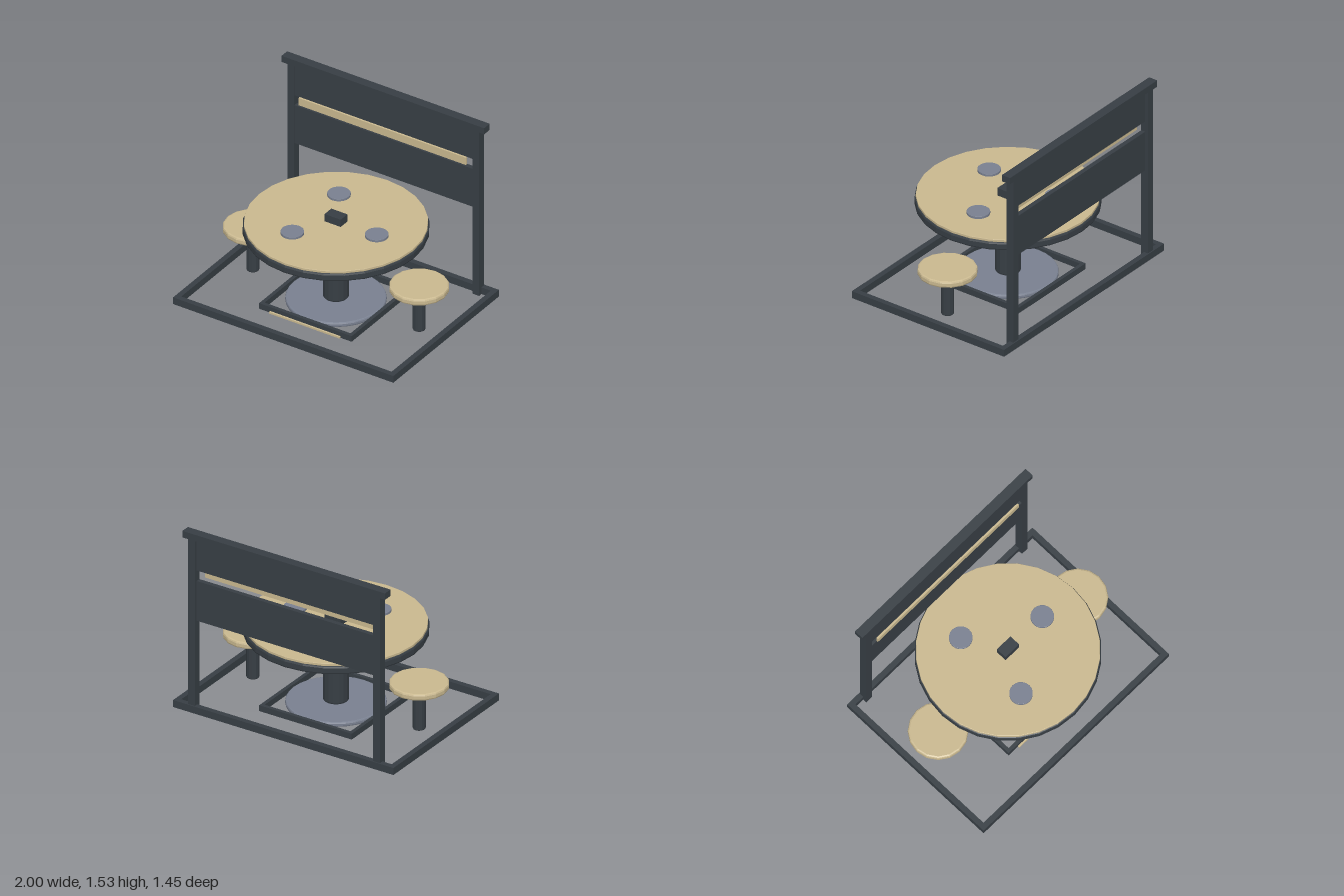
import * as THREE from 'three';

const paint = (name, color) => {
  const m = new THREE.MeshStandardMaterial({ color });
  m.name = name;
  return m;
};

export function createModel() {
  const model = new THREE.Group();
  model.name = 'tableWithScreen';
  const steel = paint('dark steel', 0x373e44);
  const wood = paint('pale wood', 0xc9b88f);
  const grey = paint('blue grey', 0x798090);

  const add = (name, geometry, material, parent = model) => {
    const mesh = new THREE.Mesh(geometry, material);
    mesh.name = name;
    parent.add(mesh);
    return mesh;
  };

  // Box given by its limits on each axis
  const box = (name, material, [x0, x1], [y0, y1], [z0, z1], parent) => {
    const mesh = add(name, new THREE.BoxGeometry(x1 - x0, y1 - y0, z1 - z0), material, parent);
    mesh.position.set((x0 + x1) / 2, (y0 + y1) / 2, (z0 + z1) / 2);
    return mesh;
  };

  // Faceted disc or post with bevelled rims
  const disc = (name, material, r, y0, y1, sides, bevel, x = 0, z = 0) => {
    const profile = [
      [0, y0], [r - bevel, y0], [r - bevel * 0.3, y0 + bevel * 0.3], [r, y0 + bevel],
      [r, y1 - bevel], [r - bevel * 0.3, y1 - bevel * 0.3], [r - bevel, y1], [0, y1],
    ].map(([px, py]) => new THREE.Vector2(px, py));
    const geometry = new THREE.LatheGeometry(profile, sides).toNonIndexed();
    geometry.computeVertexNormals();
    const mesh = add(name, geometry, material);
    mesh.position.set(x, 0, z);
    return mesh;
  };

  // Rectangular floor frame made of four bars
  const floorFrame = (name, hx, hz, width, height) => {
    const frame = new THREE.Group();
    frame.name = name;
    model.add(frame);
    for (const s of [-1, 1]) {
      const cx = s * (hx - width / 2), cz = s * (hz - width / 2), w = width / 2;
      box('longBar', steel, [-hx, hx], [0, height], [cz - w, cz + w], frame);
      box('sideBar', steel, [cx - w, cx + w], [0, height], [width - hz, hz - width], frame);
    }
  };
  floorFrame('outerFrame', 1, 0.725, 0.045, 0.06);
  floorFrame('innerFrame', 0.42, 0.42, 0.03, 0.05);
  box('footStrip', wood, [-0.32, 0.32], [0, 0.015], [0.4, 0.435]);

  // Table
  disc('basePlate', grey, 0.385, 0, 0.04, 32, 0.012);
  disc('pedestal', steel, 0.1, 0.04, 0.62, 16, 0.015);
  disc('tableRim', steel, 0.71, 0.62, 0.69, 28, 0.015);
  disc('tableTop', wood, 0.7, 0.688, 0.71, 28, 0.003);
  box('centreBox', steel, [-0.073, 0.073], [0.71, 0.775], [-0.046, 0.046]);
  for (let i = 0; i < 3; i++) {
    const a = (i * Math.PI * 2) / 3;
    disc('coaster', grey, 0.09, 0.708, 0.73, 20, 0.002, 0.37 * Math.cos(a), 0.37 * Math.sin(a));
  }

  // Stools and screen posts, one on each side
  for (const s of [-1, 1]) {
    disc('stoolStem', steel, 0.05, 0.01, 0.362, 12, 0.008, s * 0.755);
    disc('stoolSeat', wood, 0.23, 0.36, 0.415, 16, 0.015, s * 0.755);
    box('screenPost', steel, [s * 0.84 - 0.031, s * 0.84 + 0.031], [0, 1.48], [-0.715, -0.648]);
  }

  // Screen at the back
  box('lowerPanel', steel, [-0.81, 0.81], [0.78, 1.12], [-0.69, -0.652]);
  box('upperPanel', steel, [-0.81, 0.81], [1.21, 1.48], [-0.69, -0.652]);
  box('topRail', steel, [-0.92, 0.92], [1.475, 1.53], [-0.72, -0.643]);
  box('woodStrip', wood, [-0.76, 0.76], [1.147, 1.212], [-0.65, -0.634]);
  return model;
}
